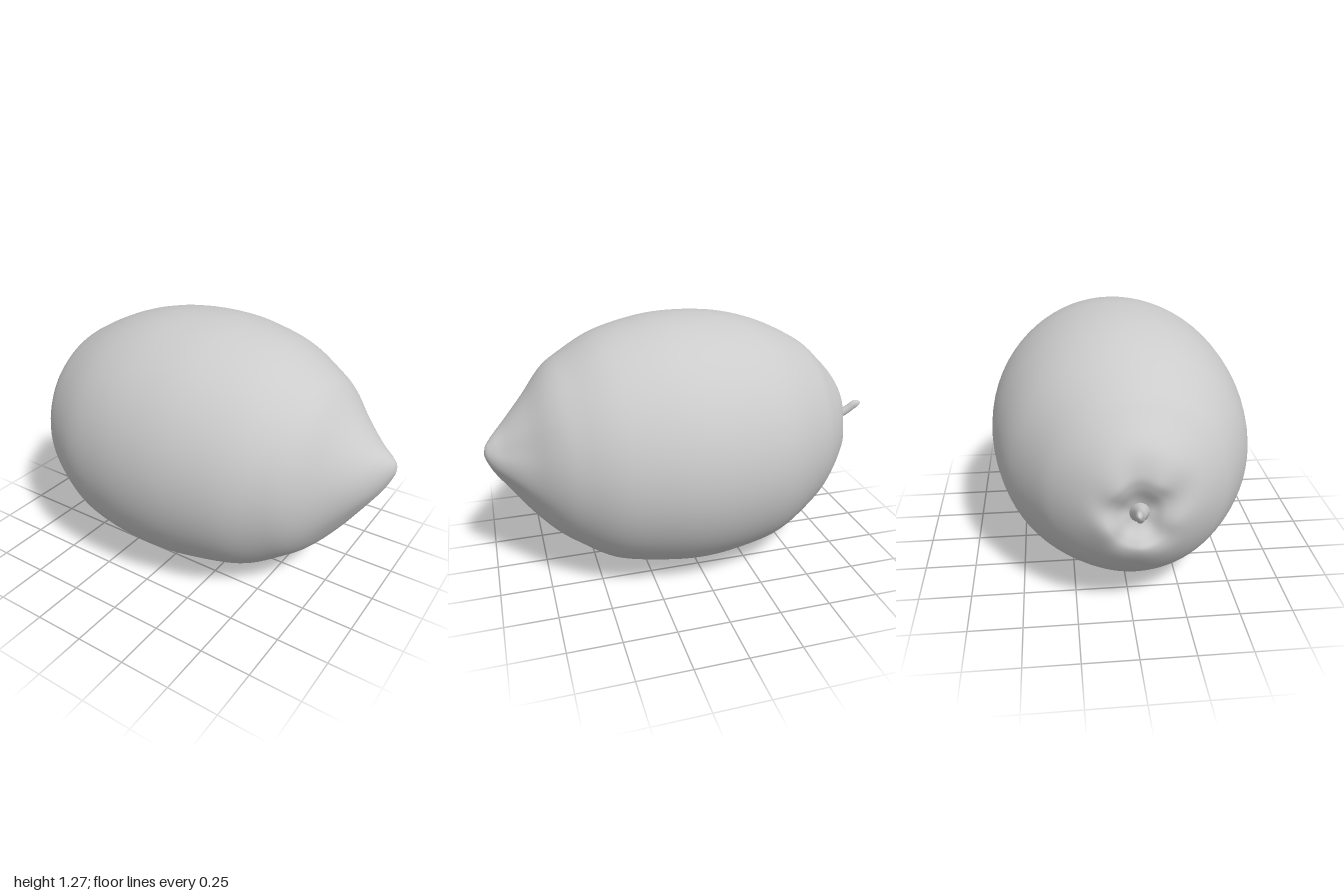
import * as THREE from 'three';

const material = new THREE.MeshStandardMaterial({ color: 0xcccccc, side: THREE.DoubleSide });

// Cross-sections along the fruit: x, top y, bottom y, back z, front z.
// The first rows curl inward to make the hollow around the stem.
const sections = [
  [-0.76, 0.60, 0.58, 0.01, 0.03],
  [-0.78, 0.66, 0.52, -0.05, 0.08],
  [-0.815, 0.73, 0.47, -0.1, 0.13],
  [-0.825, 0.79, 0.43, -0.15, 0.19],
  [-0.79, 0.89, 0.36, -0.22, 0.27],
  [-0.7, 0.99, 0.25, -0.33, 0.38],
  [-0.6, 1.08, 0.165, -0.42, 0.47],
  [-0.4, 1.185, 0.06, -0.55, 0.575],
  [-0.2, 1.245, 0.015, -0.61, 0.62],
  [0, 1.265, 0, -0.635, 0.63],
  [0.2, 1.255, 0.018, -0.625, 0.61],
  [0.43, 1.2, 0.065, -0.57, 0.55],
  [0.6, 1.11, 0.165, -0.48, 0.46],
  [0.7, 1.04, 0.24, -0.405, 0.38],
  [0.8, 0.92, 0.35, -0.305, 0.25],
  [0.9, 0.81, 0.49, -0.21, 0.12],
  [0.96, 0.755, 0.58, -0.155, 0.015],
  [0.99, 0.72, 0.645, -0.12, -0.05],
  [1.0, 0.685, 0.68, -0.09, -0.085],
];

const bump = (v, mid, width) => Math.exp(-(((v - mid) / width) ** 2));
const angleGap = (a, b) => Math.atan2(Math.sin(a - b), Math.cos(a - b));

function createFruit() {
  const curve = (f) => new THREE.CatmullRomCurve3(sections.map(f), false, 'catmullrom', 0.5);
  const heights = curve((s) => new THREE.Vector3(s[0], s[1], s[2]));
  const depths = curve((s) => new THREE.Vector3(s[3], s[4], 0));
  const rings = 108, sides = 72;
  const positions = [], index = [];
  for (let i = 0; i <= rings; i++) {
    const t = i / rings, row = t * (sections.length - 1);
    const h = heights.getPoint(t), d = depths.getPoint(t);
    const rimWeight = bump(row, 2.9, 1.5), tipWeight = bump(row, 14.6, 1.3);
    for (let j = 0; j < sides; j++) {
      const a = (j / sides) * Math.PI * 2;
      // Puckered lobes round the stem, shallow creases running to the tip
      const lobes = Math.cos(5 * a + 0.4);
      const creases = 0.07 * bump(angleGap(a, 4.05), 0, 0.28) + 0.04 * bump(angleGap(a, 5.2), 0, 0.25)
        + 0.04 * bump(angleGap(a, 2.5), 0, 0.3);
      const r = 1 + 0.025 * rimWeight * lobes - tipWeight * creases;
      const x = h.x + rimWeight * (0.008 * lobes + 0.014 * Math.max(0, Math.sin(a)));
      positions.push(
        x,
        (h.y + h.z) / 2 + ((h.y - h.z) / 2) * r * Math.cos(a),
        (d.x + d.y) / 2 + ((d.y - d.x) / 2) * r * Math.sin(a),
      );
      if (i < rings) {
        const k = (j + 1) % sides, p = i * sides, q = p + sides;
        index.push(p + j, p + k, q + j, p + k, q + k, q + j);
      }
    }
  }
  const geometry = new THREE.BufferGeometry();
  geometry.setAttribute('position', new THREE.Float32BufferAttribute(positions, 3));
  geometry.setIndex(index);
  geometry.computeVertexNormals();
  const mesh = new THREE.Mesh(geometry, material);
  mesh.name = 'fruit';
  return mesh;
}

// Bent stalk, wide at its base and flared just before the closed end
function createStem() {
  const path = new THREE.CatmullRomCurve3([
    [-0.75, 0.585, 0.02], [-0.81, 0.61, 0.018], [-0.87, 0.63, 0.01],
    [-0.93, 0.665, 0], [-0.96, 0.69, -0.007], [-0.996, 0.705, -0.012],
  ].map((p) => new THREE.Vector3(...p)));
  const steps = 30, sides = 16;
  const geometry = new THREE.TubeGeometry(path, steps, 1, sides);
  const pos = geometry.attributes.position, v = new THREE.Vector3();
  for (let n = 0; n < pos.count; n++) {
    const t = Math.floor(n / (sides + 1)) / steps;
    const centre = path.getPointAt(t);
    const radius = (0.027 + 0.02 * bump(t, 0, 0.25) - 0.006 * t) * Math.sqrt(Math.min(1, (1 - t) * 9));
    v.fromBufferAttribute(pos, n).sub(centre).multiplyScalar(radius);
    v.z *= 1 - 0.3 * t;
    v.add(centre);
    pos.setXYZ(n, v.x, v.y, v.z);
  }
  geometry.computeVertexNormals();
  const mesh = new THREE.Mesh(geometry, material);
  mesh.name = 'stem';
  return mesh;
}

export function createModel() {
  const group = new THREE.Group();
  group.name = 'lemon';
  group.add(createFruit(), createStem());
  return group;
}
